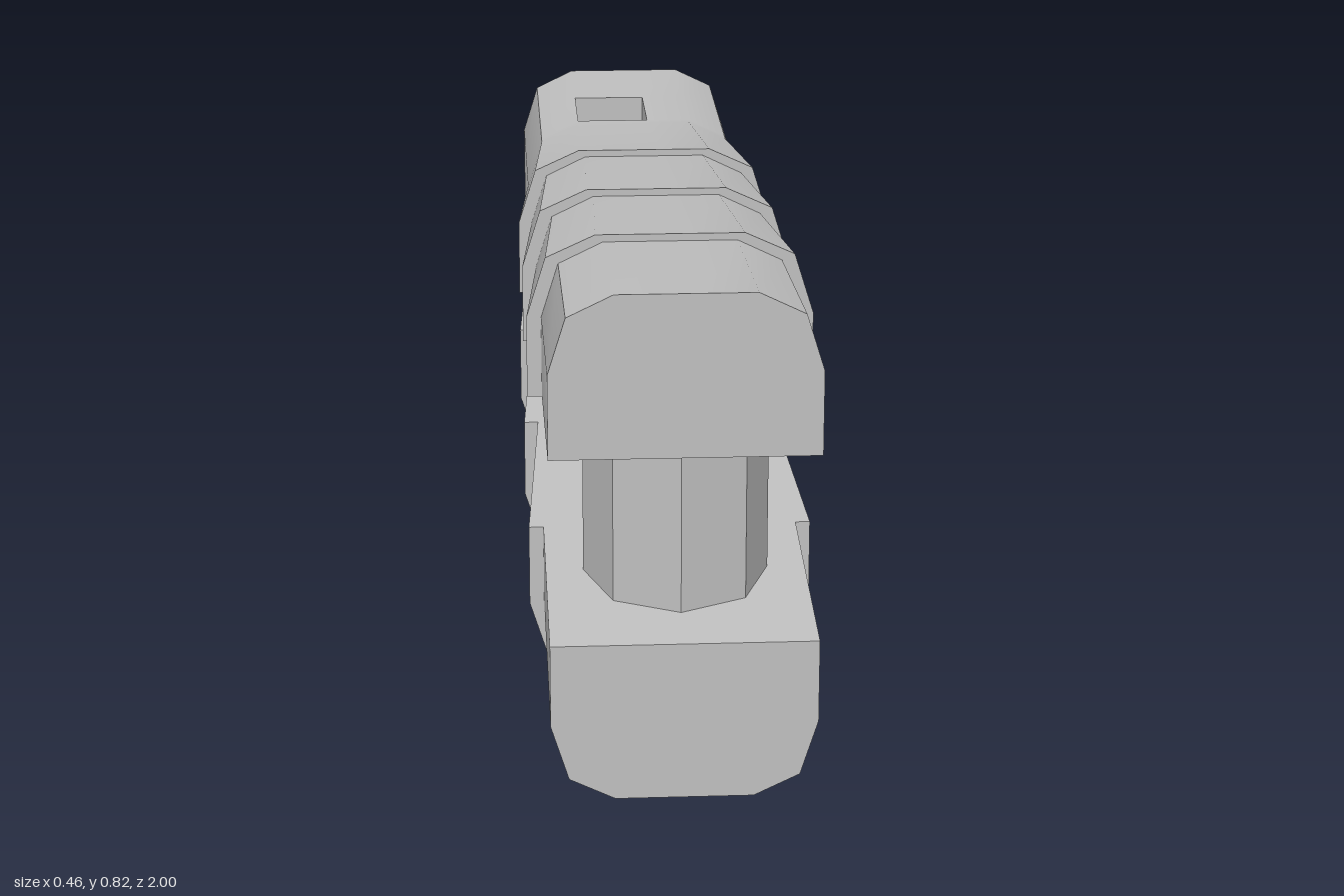
import * as THREE from 'three';
import { toCreasedNormals } from 'three/addons/utils/BufferGeometryUtils.js';

const MID = 0.4125;          // height of the split plane
const SPLIT = -0.57;         // where the two legs part
const HOLE = { x0: -0.108, x1: 0.027, z0: -0.77, z1: -0.59 };

// Half cross-section above the split plane: x, height, extra height at a barb
const PROFILE = [
  [0.208, 0, 0], [0.208, 0.135, 0], [0.18, 0.225, 0.01], [0.108, 0.26, 0.012],
  [HOLE.x1, 0.26, 0.012], [HOLE.x0, 0.26, 0.012],
  [-0.18, 0.225, 0.01], [-0.208, 0.135, 0], [-0.208, 0, 0],
];

// Stations along the plug: z, flare (1 at the wide rim of each barb)
const STATIONS = [[-1, 0], [HOLE.z0, 0], [HOLE.z1, 0], [SPLIT, 0]];
for (const z of [-0.19, 0.207, 0.604]) STATIONS.push([z, 1], [z, 0]);
STATIONS.push([1, 0]);

// One half of the body; side is 1 for the upper half, -1 for the lower
function halfBody(side) {
  const pos = [];
  const tri = (a, b, c) => {
    for (const p of side > 0 ? [a, b, c] : [a, c, b]) pos.push(p[0], MID + side * p[1], p[2]);
  };
  const quad = (a, b, c, d) => { tri(a, b, c); tri(a, c, d); };

  const rings = STATIONS.map(([z, flare]) => {
    const spread = Math.max(0, z - SPLIT) * 0.0971;
    return PROFILE.map(([x, h, lift]) => [x * (1 + 0.115 * flare), h + spread + lift * flare, z]);
  });

  // Skin, barb rims and the inner face of the leg
  const n = PROFILE.length;
  for (let i = 0; i < rings.length - 1; i++) {
    const r = rings[i], s = rings[i + 1];
    const z = r[0][2], isRim = z === s[0][2];
    for (let j = 0; j < n; j++) {
      if (j === 4 && z === HOLE.z0) continue;              // opening of the hole
      if (j === n - 1 && (z < SPLIT || isRim)) continue;   // solid behind the split
      const k = (j + 1) % n;
      quad(r[j], r[k], s[k], s[j]);
    }
  }

  // End caps
  const back = rings[0], front = rings[rings.length - 1];
  for (let j = 1; j < n - 1; j++) {
    tri(back[0], back[j + 1], back[j]);
    tri(front[0], front[j], front[j + 1]);
  }

  // Walls of the square hole
  const corners = [[HOLE.x1, HOLE.z0], [HOLE.x0, HOLE.z0], [HOLE.x0, HOLE.z1], [HOLE.x1, HOLE.z1]];
  corners.forEach((p, i) => {
    const q = corners[(i + 1) % 4];
    quad([q[0], 0.26, q[1]], [q[0], 0, q[1]], [p[0], 0, p[1]], [p[0], 0.26, p[1]]);
  });

  const g = new THREE.BufferGeometry();
  g.setAttribute('position', new THREE.Float32BufferAttribute(pos, 3));
  return toCreasedNormals(g, 0.6);
}

export function createModel() {
  const group = new THREE.Group();
  group.name = 'wallPlug';
  const grey = new THREE.MeshStandardMaterial({ color: 0xc0c0c0 });
  grey.name = 'grey plastic';

  const add = (name, geometry) => {
    const mesh = new THREE.Mesh(geometry, grey);
    mesh.name = name;
    group.add(mesh);
    return mesh;
  };

  add('upperHalf', halfBody(1));
  add('lowerHalf', halfBody(-1));

  // Octagonal pin joining the legs near the front
  const pin = toCreasedNormals(new THREE.CylinderGeometry(0.148, 0.148, 0.32, 8), 0.5);
  add('pin', pin).position.set(0, MID, 0.753);

  return group;
}
